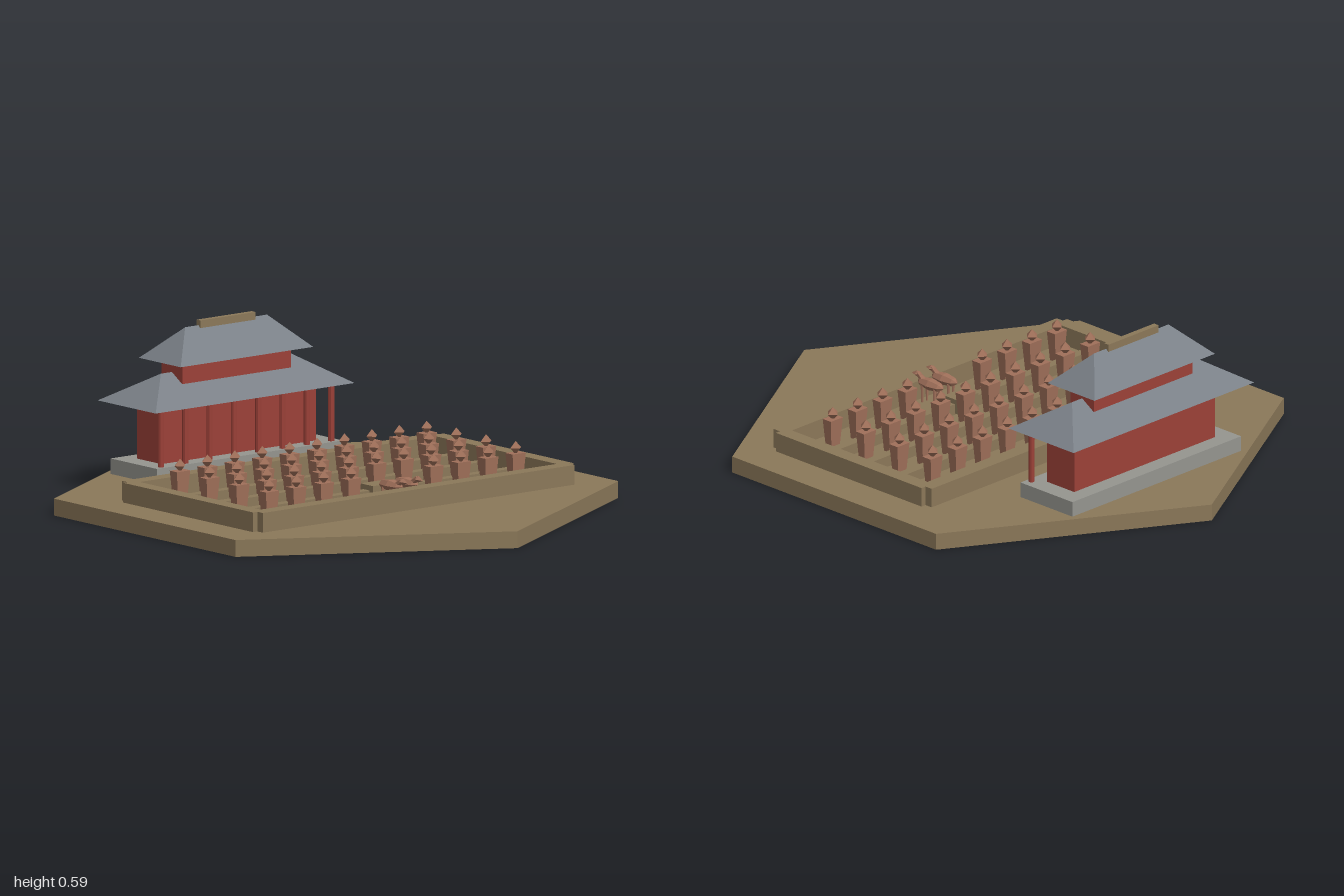
import * as THREE from 'three';

const mat = (name, color) => {
  const m = new THREE.MeshStandardMaterial({ color, flatShading: true });
  m.name = name;
  return m;
};

export function createModel() {
  const earth = mat('earth', 0x8b7859);
  const red = mat('red lacquer', 0x9c4138);
  const slate = mat('slate roof', 0x7a8087);
  const stone = mat('stone', 0x95958f);
  const clay = mat('terracotta', 0xa0705a);

  const model = new THREE.Group();
  model.name = 'excavationSite';

  const add = (parent, name, geometry, material, x = 0, y = 0, z = 0) => {
    const mesh = new THREE.Mesh(geometry, material);
    mesh.name = name;
    mesh.position.set(x, y, z);
    parent.add(mesh);
    return mesh;
  };
  // Box given by its extents on each axis
  const box = (parent, name, material, x0, x1, y0, y1, z0, z1) =>
    add(parent, name, new THREE.BoxGeometry(x1 - x0, y1 - y0, z1 - z0), material,
      (x0 + x1) / 2, (y0 + y1) / 2, (z0 + z1) / 2);
  const group = (name, parent = model) => {
    const g = new THREE.Group();
    g.name = name;
    parent.add(g);
    return g;
  };

  // Hexagonal ground slab
  add(model, 'ground', new THREE.CylinderGeometry(1, 1, 0.06, 6), earth, 0, 0.03, 0);

  // Pit rim, with the side walls stepping out at the corners
  const pit = group('pit');
  box(pit, 'backWall', earth, -0.705, 0.705, 0.06, 0.13, -0.32, -0.265);
  box(pit, 'frontWall', earth, -0.705, 0.705, 0.06, 0.13, 0.4, 0.455);
  for (const s of [-1, 1]) {
    const wall = box(pit, 'sideWall', earth, 0.67, 0.725, 0.06, 0.13, -0.29, 0.425);
    wall.position.x *= s;
  }
  for (const z of [-0.098, 0.066, 0.229])
    box(pit, 'divider', earth, -0.65, 0.65, 0.06, 0.1, z - 0.017, z + 0.017);

  // Statues: a tapered body and a faceted head
  const bodyGeo = new THREE.BoxGeometry(0.06, 0.11, 0.04);
  const p = bodyGeo.attributes.position;
  for (let i = 0; i < p.count; i++)
    if (p.getY(i) < 0) p.setXYZ(i, p.getX(i) * 0.68, p.getY(i), p.getZ(i) * 0.68);
  bodyGeo.computeVertexNormals();
  const headGeo = new THREE.OctahedronGeometry(0.024);

  const army = group('army');
  [-0.18, -0.017, 0.147, 0.31].forEach((z, row) => {
    for (let i = 0; i < 10; i++) {
      if (row === 3 && (i === 4 || i === 5)) continue;
      const statue = group('statue', army);
      statue.position.set((i - 4.5) * 0.124, 0.06, z);
      add(statue, 'body', bodyGeo, clay, 0, 0.055, 0);
      add(statue, 'head', headGeo, clay, 0, 0.128, 0);
    }
  });

  // Cart with two horses
  const cart = group('cart');
  box(cart, 'cartBox', earth, -0.05, 0.05, 0.065, 0.118, 0.195, 0.265);
  const legGeo = new THREE.CylinderGeometry(0.006, 0.004, 0.065, 5);
  for (const s of [-1, 1]) {
    const horse = group('horse', cart);
    horse.position.set(s * 0.035, 0, 0);
    const body = add(horse, 'horseBody', new THREE.SphereGeometry(1, 6, 4).rotateX(Math.PI / 2),
      clay, 0, 0.132, 0.345);
    body.scale.set(0.026, 0.021, 0.062);
    const neck = add(horse, 'horseNeck', new THREE.CylinderGeometry(0.008, 0.014, 0.045, 6),
      clay, 0, 0.145, 0.39);
    neck.rotation.x = 0.9;
    const head = add(horse, 'horseHead', new THREE.OctahedronGeometry(1), clay, 0, 0.154, 0.41);
    head.scale.set(0.014, 0.012, 0.027);
    head.rotation.x = 0.1;
    for (const x of [-0.012, 0.012])
      for (const z of [0.315, 0.375]) add(horse, 'horseLeg', legGeo, clay, x, 0.0925, z);
  }

  // Closed hip roof: rectangular eave rising to a straight ridge
  const hipRoof = (halfX, halfZ, ridgeX, height) => {
    const a = [-halfX, 0, halfZ], b = [halfX, 0, halfZ];
    const c = [halfX, 0, -halfZ], d = [-halfX, 0, -halfZ];
    const l = [-ridgeX, height, 0], r = [ridgeX, height, 0];
    const faces = [a, b, r, a, r, l, c, d, l, c, l, r, b, c, r, d, a, l, a, d, c, a, c, b];
    const g = new THREE.BufferGeometry();
    g.setAttribute('position', new THREE.Float32BufferAttribute(faces.flat(), 3));
    g.computeVertexNormals();
    return g;
  };

  // Two-tier pavilion behind the pit
  const pavilion = group('pavilion');
  pavilion.position.z = -0.605;
  box(pavilion, 'plinth', stone, -0.42, 0.42, 0.06, 0.115, -0.125, 0.13);
  box(pavilion, 'hall', red, -0.35, 0.35, 0.115, 0.335, -0.065, 0.07);
  const columnGeo = new THREE.CylinderGeometry(0.011, 0.011, 0.22, 8);
  for (let i = 0; i < 8; i++)
    add(pavilion, 'column', columnGeo, red, (i - 3.5) * 0.11, 0.225, 0.11);
  add(pavilion, 'lowerRoof', hipRoof(0.45, 0.16, 0.295, 0.1), slate, 0, 0.32, 0);
  box(pavilion, 'upperStorey', red, -0.245, 0.245, 0.385, 0.465, -0.058, 0.058);
  add(pavilion, 'upperRoof', hipRoof(0.3, 0.115, 0.185, 0.112), slate, 0, 0.46, 0);
  box(pavilion, 'ridgeBeam', earth, -0.125, 0.125, 0.563, 0.59, -0.011, 0.011);

  return model;
}
